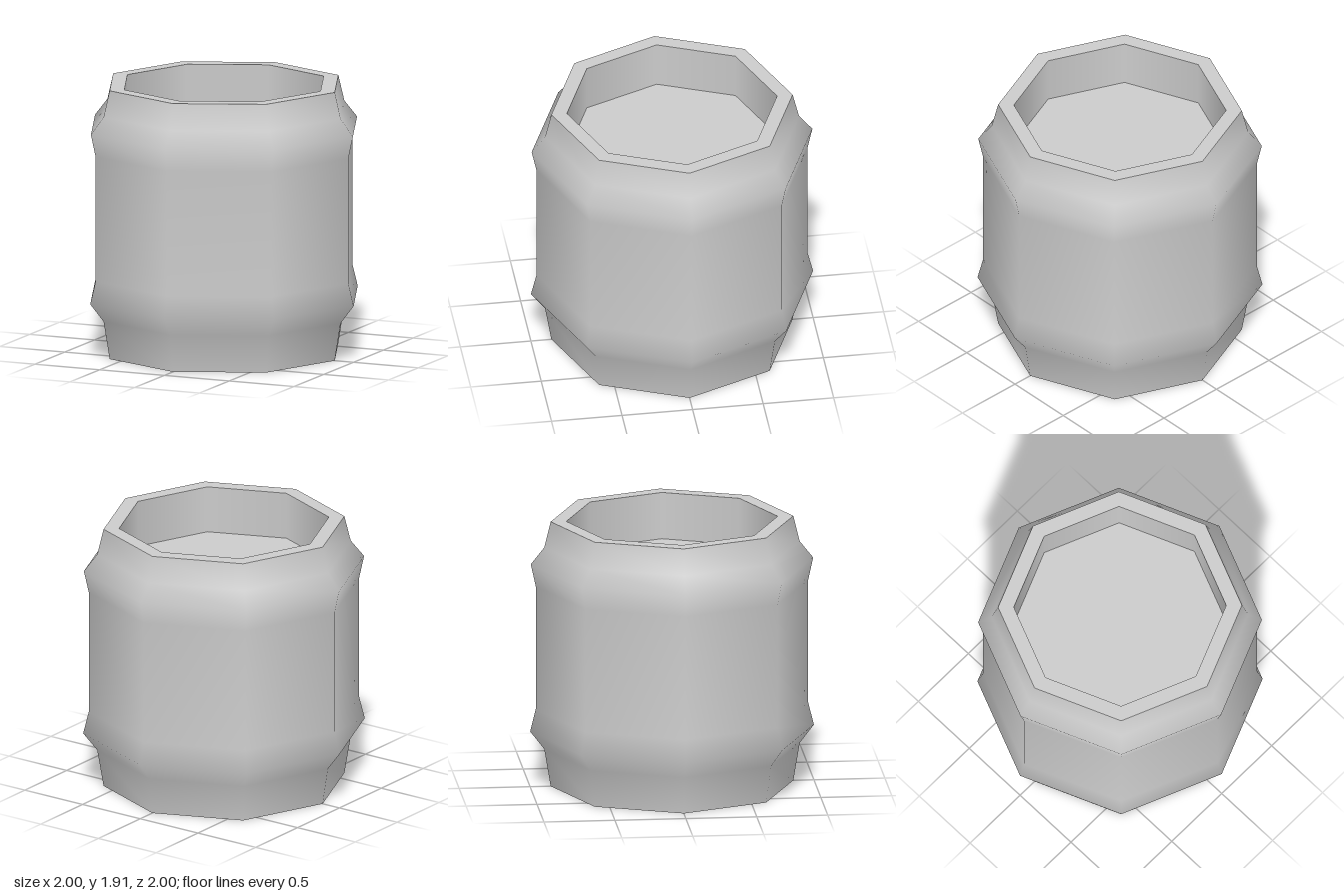
import * as THREE from 'three';

const SIDES = 8;
const HEIGHT = 1.915;
const RIM_OUTER = 0.855;
const RIM_INNER = 0.745;
const FLOOR_Y = 1.58;

export function createModel() {
  const model = new THREE.Group();
  model.name = 'barrel';
  const material = new THREE.MeshStandardMaterial({ color: 0xcccccc });

  const add = (name, geometry) => {
    const mesh = new THREE.Mesh(geometry, material);
    mesh.name = name;
    model.add(mesh);
    return mesh;
  };
  const lathe = (points) =>
    new THREE.LatheGeometry(points.map(([r, y]) => new THREE.Vector2(r, y)), SIDES);

  // Outer wall: tapered ends and two raised hoops, smooth all the way up
  add('outerWall', lathe([
    [RIM_OUTER, 0], [0.9, 0.27], [1, 0.4], [0.96, 0.56],
    [0.96, 1.45], [0.995, 1.61], [0.9, 1.73], [RIM_OUTER, HEIGHT],
  ]));

  // Inner wall of the recess, facing inward
  add('innerWall', lathe([[RIM_INNER, HEIGHT], [RIM_INNER, FLOOR_Y]]));

  // Flat rim, recess floor and underside
  const rim = add('rim', new THREE.RingGeometry(RIM_INNER, RIM_OUTER, SIDES).rotateX(-Math.PI / 2));
  rim.position.y = HEIGHT;
  const floor = add('recessFloor', new THREE.CircleGeometry(RIM_INNER, SIDES).rotateX(-Math.PI / 2));
  floor.position.y = FLOOR_Y;
  add('underside', new THREE.CircleGeometry(RIM_OUTER, SIDES).rotateX(Math.PI / 2));

  return model;
}
